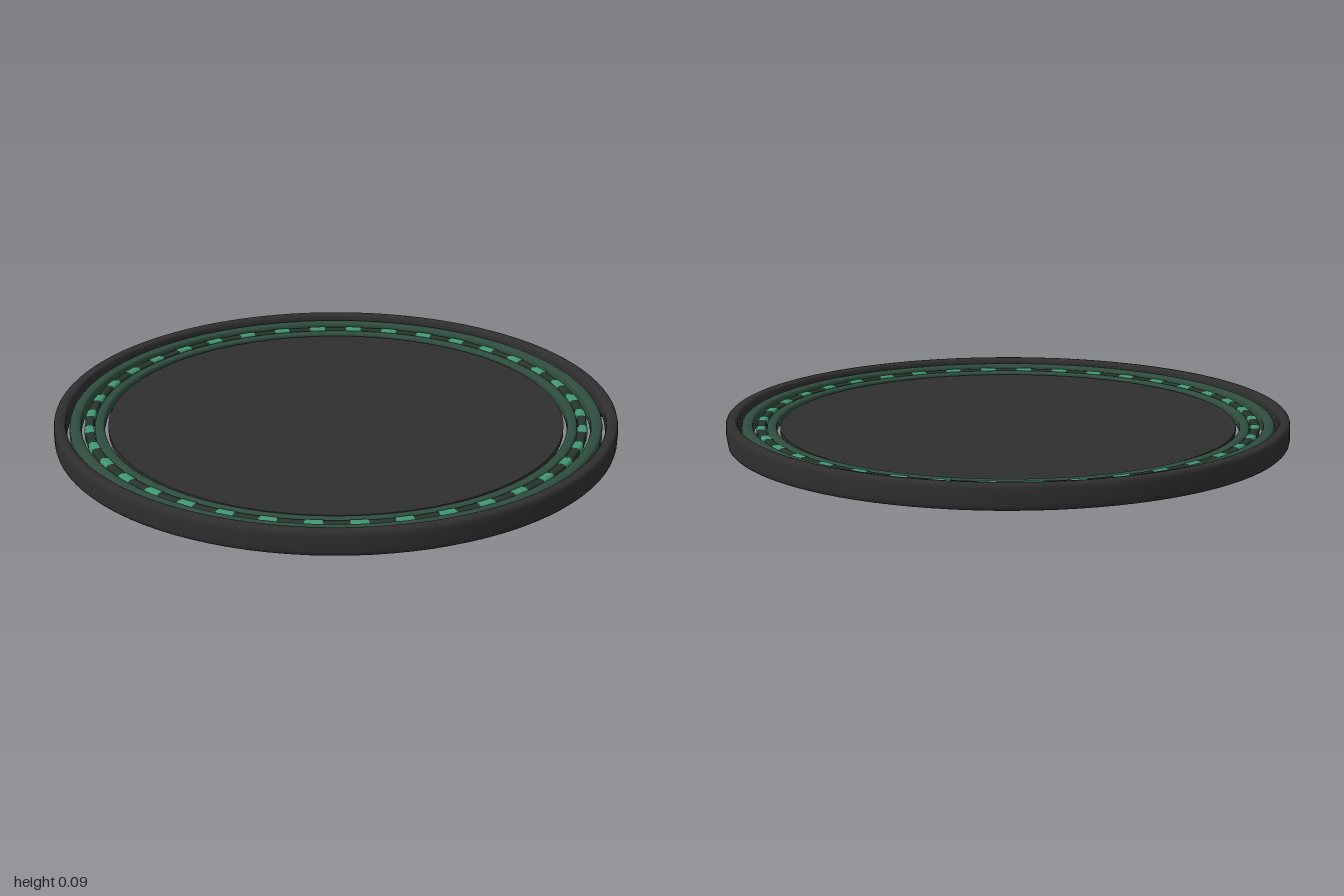
import * as THREE from 'three';

// Closed rounded-rectangle profile spun around the y axis
function ringGeometry(r0, r1, y0, y1, segments, start = 0, length = Math.PI * 2) {
  const points = [];
  const steps = 16;
  for (let i = 0; i <= steps; i++) {
    const a = -Math.PI / 2 + (i / steps) * Math.PI * 2;
    const c = Math.cos(a), s = Math.sin(a);
    points.push(new THREE.Vector2(
      (r0 + r1) / 2 + Math.sign(c) * Math.sqrt(Math.abs(c)) * (r1 - r0) / 2,
      (y0 + y1) / 2 + Math.sign(s) * Math.sqrt(Math.abs(s)) * (y1 - y0) / 2
    ));
  }
  return new THREE.LatheGeometry(points, segments, start, length);
}

export function createModel() {
  const group = new THREE.Group();
  const material = (name, color) => {
    const m = new THREE.MeshStandardMaterial({ color, side: THREE.DoubleSide });
    m.name = name;
    return m;
  };
  const charcoal = material('charcoal', 0x2f2f2f);
  const darkGreen = material('dark green', 0x2f4d3e);
  const shadowGreen = material('shadow green', 0x26352d);
  const mint = material('mint green', 0x429674);

  const add = (name, geometry, mat, parent = group) => {
    const mesh = new THREE.Mesh(geometry, mat);
    mesh.name = name;
    parent.add(mesh);
    return mesh;
  };

  // Central plate, floating at mid height
  add('centrePlate', new THREE.CylinderGeometry(0.81, 0.81, 0.02, 64), charcoal).position.y = 0.042;

  // Outer rim with a small chip in its lower edge
  const rim = ringGeometry(0.956, 1, 0, 0.088, 96);
  const p = rim.attributes.position;
  for (let i = 0; i < p.count; i++) {
    const z = p.getZ(i);
    if (p.getX(i) > 0 && z > -0.33 && z < -0.11 && p.getY(i) < 0.044) {
      const depth = 0.035 * (-0.11 - z) / 0.22;
      p.setY(i, Math.min(0.044, p.getY(i) + depth));
    }
  }
  rim.computeVertexNormals();
  add('outerRim', rim, charcoal);

  // Green bands, separated by narrow gaps
  add('outerBand', ringGeometry(0.904, 0.946, 0.015, 0.072, 72), darkGreen);
  add('innerBand', ringGeometry(0.822, 0.858, 0.02, 0.06, 72), darkGreen);
  add('dashTrack', ringGeometry(0.86, 0.892, 0.024, 0.062, 76), shadowGreen);

  // Bright dashes wrapped around the track
  const dashes = new THREE.Group();
  dashes.name = 'dashes';
  group.add(dashes);
  const count = 38;
  const dash = ringGeometry(0.858, 0.894, 0.022, 0.064, 2, 0, 0.068);
  for (let i = 0; i < count; i++) {
    add('dash', dash, mint, dashes).rotation.y = (i / count) * Math.PI * 2;
  }
  return group;
}
